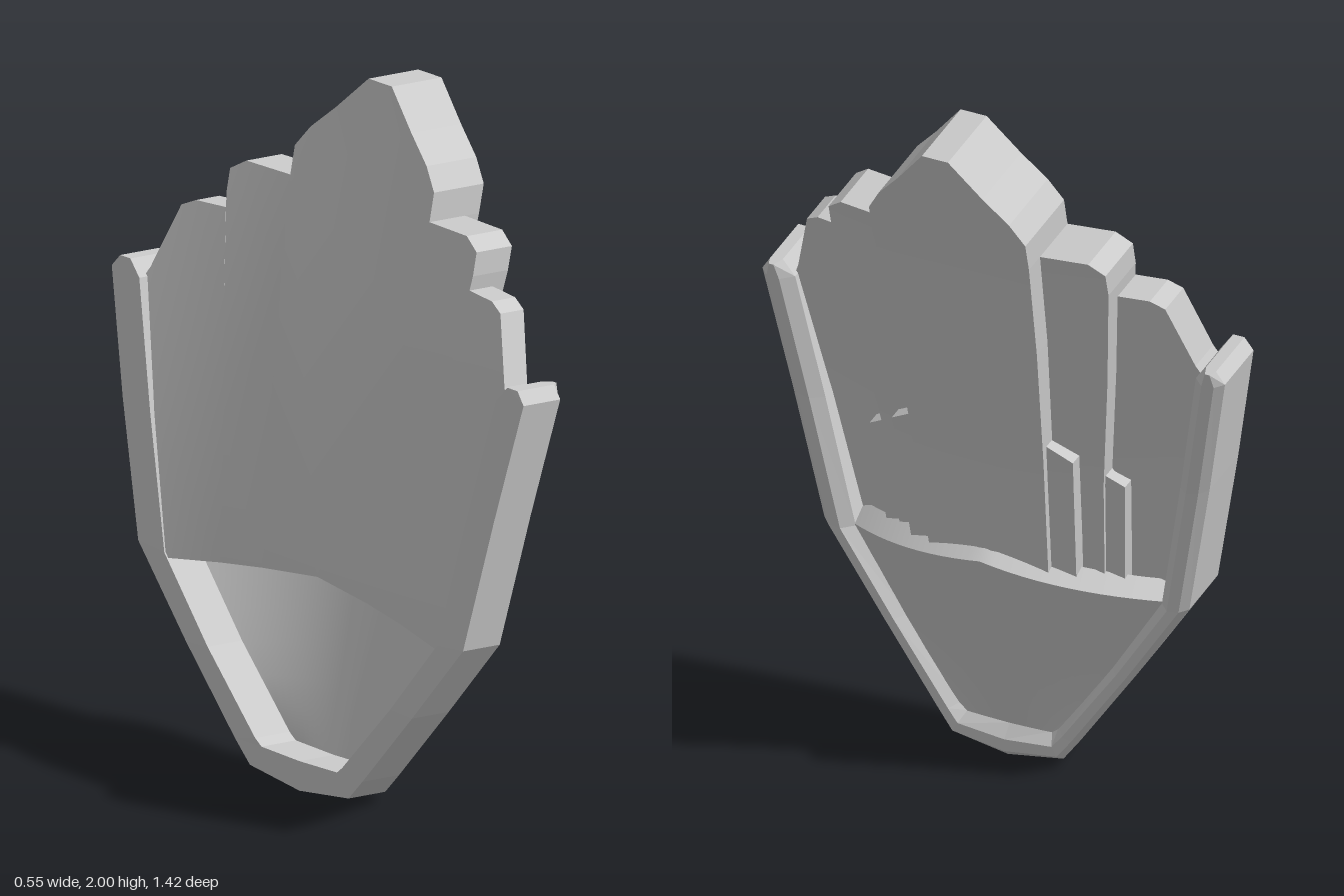
import * as THREE from 'three';

const TILT = 0.23; // thickness runs forward and slightly downward
const material = new THREE.MeshStandardMaterial({ color: 0xcccccc, side: THREE.DoubleSide });

// Shared back surface: leans outward with height, curves back toward the sides
const backX = (z, y) => {
  const u = y - 0.63;
  return -0.2 + 0.13 * u + 0.047 * u * u - (0.27 - 0.09 * u) * z * z;
};
const bottomY = z => 0.64 - 0.12 * Math.abs(z);

function addMesh(group, name, geometry) {
  const mesh = new THREE.Mesh(geometry, material);
  mesh.name = name;
  group.add(mesh);
}

// Slab from a (z, y) outline, laid on the back surface; it thins slightly toward the base
function slab(outline, start, thickness) {
  const shape = new THREE.Shape(outline.map(([z, y]) => new THREE.Vector2(-z, y)));
  const geometry = new THREE.ExtrudeGeometry(shape, { depth: 1, bevelEnabled: false });
  const p = geometry.attributes.position, n = geometry.attributes.normal;
  const flat = Array.from({ length: p.count }, (_, i) => [-p.getX(i), p.getY(i), Math.round(n.getZ(i))]);
  for (let i = 0; i < p.count; i++) {
    const [z, y] = flat[i];
    const taper = 0.88 + 0.12 * THREE.MathUtils.clamp((y - 0.63) / 1.1, 0, 1);
    const t = (start + p.getZ(i) * (thickness - start)) * taper;
    p.setXYZ(i, backX(z, y) + t, y - TILT * t, z);
  }
  geometry.computeVertexNormals();
  // Smooth shading on the two broad faces
  flat.forEach(([z, y, facing], i) => {
    if (!facing) return;
    const u = y - 0.63;
    const normal = new THREE.Vector3(1, -0.13 - 0.094 * u, (0.54 - 0.18 * u) * z);
    normal.normalize().multiplyScalar(facing);
    n.setXYZ(i, normal.x, normal.y, normal.z);
  });
  return geometry;
}

// Skin between rows of [x, y, z] points
function loft(rows, flat = false) {
  const n = rows[0].length, index = [];
  for (let r = 0; r < rows.length - 1; r++) {
    for (let c = 0; c < n - 1; c++) {
      const a = r * n + c, b = a + n;
      index.push(a, a + 1, b, a + 1, b + 1, b);
    }
  }
  let geometry = new THREE.BufferGeometry();
  geometry.setAttribute('position', new THREE.Float32BufferAttribute(rows.flat(2), 3));
  geometry.setIndex(index);
  if (flat) geometry = geometry.toNonIndexed();
  geometry.computeVertexNormals();
  return geometry;
}

// V-shaped rim with a chamfered front edge
function rimGeometry() {
  // outer z, outer y, inner z, inner y, back x
  const half = [
    [0, 0.038, 0, 0.125, -0.275],
    [0.17, 0.065, 0.13, 0.13, -0.276],
    [0.22, 0.13, 0.15, 0.15, -0.278],
    [0.39, 0.365, 0.315, 0.37, -0.277],
    [0.56, 0.61, 0.47, 0.6, -0.27],
    [0.64, 1.0, 0.545, 0.98, -0.238],
    [0.71, 1.35, 0.615, 1.34, -0.198],
    [0.685, 1.385, 0.65, 1.385, -0.193],
  ];
  const mirrored = half.slice(1).reverse().map(([a, b, c, d, e]) => [-a, b, -c, d, e]);
  const section = [[0, 0], [0, 0.155], [0.25, 0.175], [0.65, 0.175], [1, 0.145], [1, 0], [0, 0]];
  const rows = [...mirrored, ...half].map(([oz, oy, iz, iy, x]) => section.map(([k, t]) =>
    [x + t, oy + (iy - oy) * k - TILT * t, oz + (iz - oz) * k]));
  // Close both ends
  const cap = row => {
    const mid = [0, 1, 2].map(i => row.slice(0, 6).reduce((s, q) => s + q[i] / 6, 0));
    return row.map(() => mid);
  };
  return loft([cap(rows[0]), ...rows, cap(rows[rows.length - 1])], true);
}

// Bulging lower pocket, open behind, with a lip reaching back to the plates
function addPocket(group) {
  const cols = Array.from({ length: 25 }, (_, i) => 1 - i / 12);
  const row = fn => cols.map(fn);
  const topY = u => 0.57 + 0.075 * (1 - Math.abs(u));
  const topX = u => -0.135 + 0.17 * (1 - u * u);
  const front = [];
  for (let i = 0; i <= 6; i++) {
    const v = i / 6;
    front.push(row(u => [
      THREE.MathUtils.lerp(-0.13, topX(u), v),
      THREE.MathUtils.lerp(0.09, topY(u), v),
      u * THREE.MathUtils.lerp(0.155, 0.49, v),
    ]));
  }
  const lipBack = row(u => [topX(u) - 0.06, topY(u) + 0.04, u * 0.49]);
  addMesh(group, 'pocketFront', loft(front));
  addMesh(group, 'pocketLip', loft([front[6], lipBack]));
}

export function createModel() {
  const group = new THREE.Group();
  group.name = 'layeredShield';

  // Tall central plate
  const edge = [[0.18, bottomY(0.18)], [0.203, 1.04], [0.225, 1.4], [0.24, 1.69], [0.24, 1.77],
    [0.2, 1.83], [0.13, 1.9], [0.04, 2.0]];
  const mirror = edge.map(([z, y]) => [-z, y]).reverse();
  addMesh(group, 'centralPlate', slab([...edge, ...mirror, [0, bottomY(0)]], 0, 0.21));

  // Stepped plates and fins, one set per side: name, start depth, end depth, outline
  const parts = [
    ['middlePlate', 0, 0.15, [[0.18, bottomY(0.18)], [0.31, bottomY(0.31)], [0.337, 0.95], [0.385, 1.3],
      [0.425, 1.6], [0.425, 1.665], [0.38, 1.695], [0.24, 1.69], [0.225, 1.4], [0.203, 1.04]]],
    ['outerPlate', 0, 0.1, [[0.31, bottomY(0.31)], [0.48, bottomY(0.48)], [0.555, 0.97], [0.625, 1.33],
      [0.61, 1.36], [0.55, 1.54], [0.51, 1.56], [0.42, 1.56], [0.385, 1.3], [0.337, 0.95]]],
    ['innerFin', 0.08, 0.19, [[0.18, 0.62], [0.25, 0.61], [0.278, 1.04], [0.203, 1.08]]],
    ['outerFin', 0.05, 0.14, [[0.31, 0.603], [0.362, 0.597], [0.392, 0.95], [0.337, 0.98]]],
  ];
  for (const side of [1, -1]) {
    for (const [name, start, thickness, outline] of parts) {
      const points = outline.map(([z, y]) => [z * side, y]);
      addMesh(group, name + (side > 0 ? 'Front' : 'Rear'), slab(points, start, thickness));
    }
  }

  addPocket(group);
  addMesh(group, 'rim', rimGeometry());
  return group;
}
